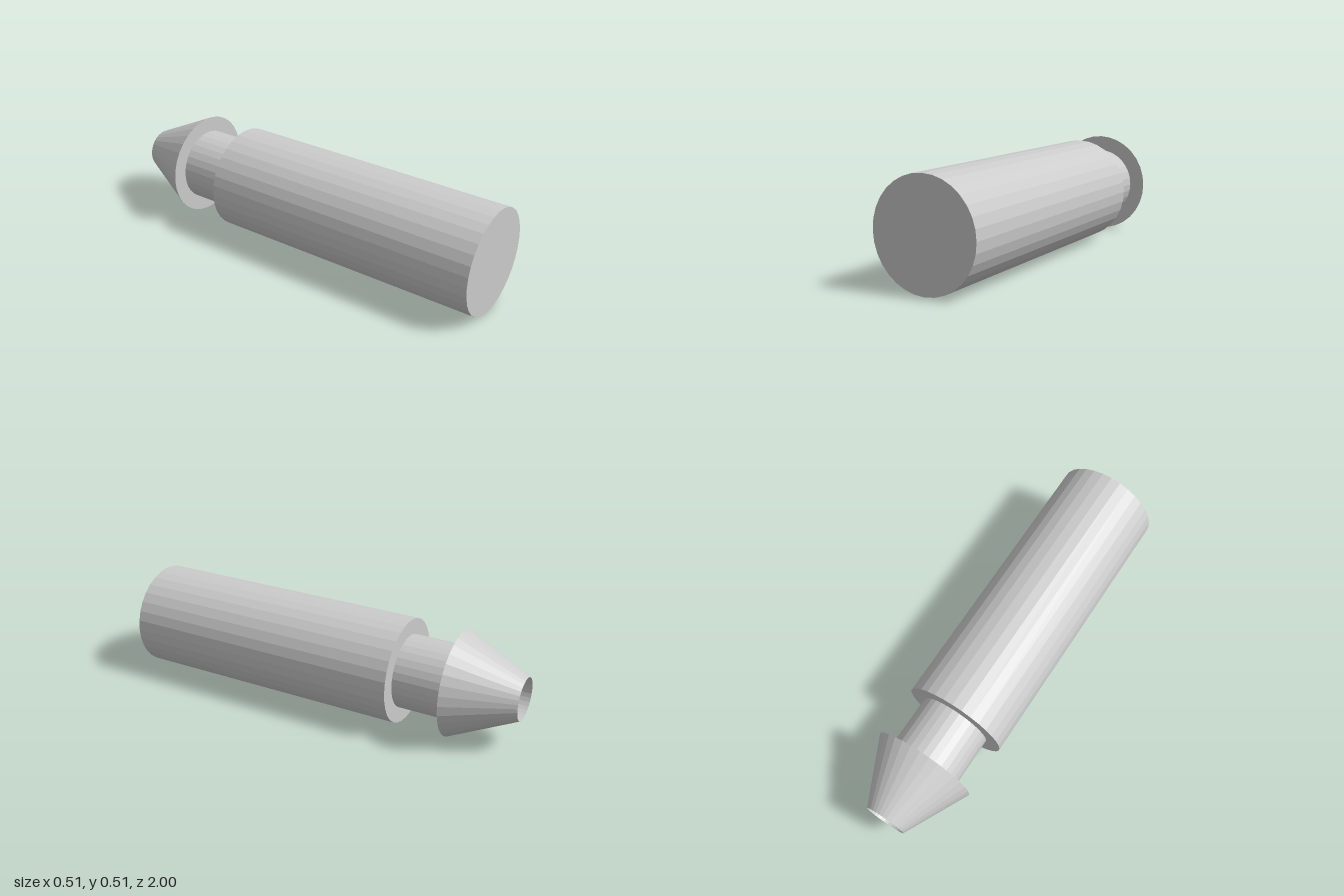
import * as THREE from 'three';

const SIDES = 32;
const R = 0.257;      // outer radius of body and head
const NECK_R = 0.18;
const TIP_R = 0.103;

export function createModel() {
  const group = new THREE.Group();
  const material = new THREE.MeshStandardMaterial({ color: 0xcccccc, flatShading: true });

  // Turns a [radius, distance towards the back] profile around the long axis
  const turned = (name, profile) => {
    const points = profile.map(([r, d]) => new THREE.Vector2(r, d));
    const geometry = new THREE.LatheGeometry(points, SIDES);
    geometry.rotateX(-Math.PI / 2);
    const mesh = new THREE.Mesh(geometry, material);
    mesh.name = name;
    mesh.position.y = R;
    group.add(mesh);
  };

  // Long solid body with a flat front end and a shoulder at the back
  turned('body', [[0, -1], [R, -1], [R, 0.42], [NECK_R, 0.42]]);

  // Narrow neck
  turned('neck', [[NECK_R, 0.42], [NECK_R, 0.68]]);

  // Tapered head with an undercut base and a blind bore in its tip
  turned('head', [[NECK_R, 0.68], [R, 0.68], [TIP_R, 1], [TIP_R, 0.83], [0, 0.83]]);

  return group;
}
